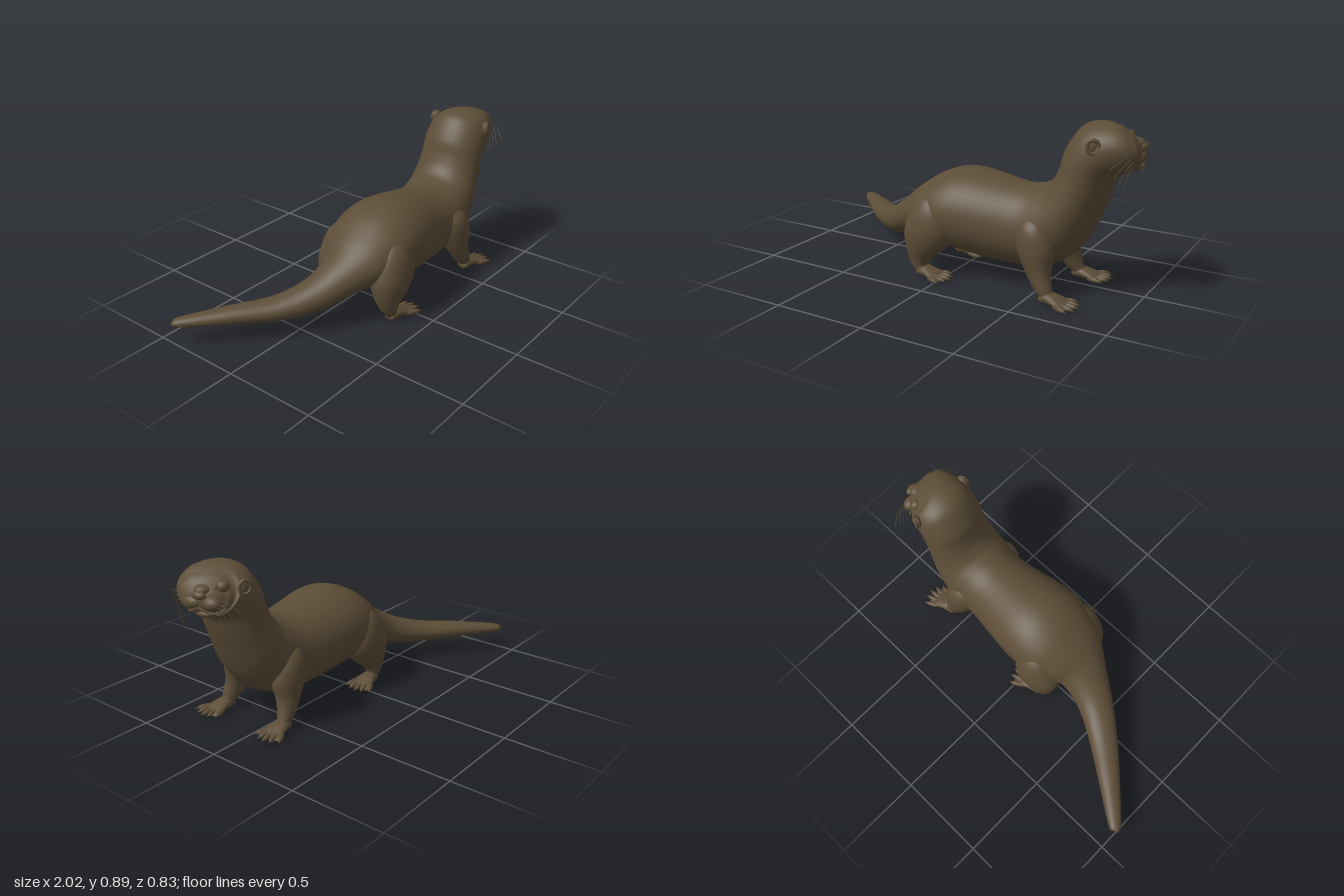
import * as THREE from 'three';

const fur = new THREE.MeshStandardMaterial({ color: 0x5c4d37 });
fur.name = 'brown fur';
const MID = 0.11; // z of the body's plane of symmetry

function named(name, geometry) {
  const m = new THREE.Mesh(geometry, fur);
  m.name = name;
  return m;
}

// Skin over elliptical rings [ax, ay, bx, by, z, halfWidth]: a and b are opposite
// rim points, and the width runs square to the path through the ring centres
function loft(name, rings, steps = 7, sides = 40) {
  const curve = (f) => new THREE.CatmullRomCurve3(rings.map(f), false, 'catmullrom', 0.5);
  const A = curve((r) => new THREE.Vector3(r[0], r[1], r[4]));
  const B = curve((r) => new THREE.Vector3(r[2], r[3], r[4]));
  const W = curve((r) => new THREE.Vector3(r[5], 0, 0));
  const centre = (t) => A.getPoint(t).add(B.getPoint(t)).multiplyScalar(0.5);
  const n = (rings.length - 1) * steps;
  const pos = [], idx = [];
  for (let j = 0; j <= n; j++) {
    const t = j / n;
    const u = A.getPoint(t).sub(B.getPoint(t)).multiplyScalar(0.5);
    const along = centre(Math.min(1, t + 0.01)).sub(centre(Math.max(0, t - 0.01)));
    const v = along.cross(u).normalize().multiplyScalar(Math.max(W.getPoint(t).x, 0.0005));
    for (let i = 0; i < sides; i++) {
      const a = (i / sides) * Math.PI * 2;
      const p = centre(t).addScaledVector(u, Math.cos(a)).addScaledVector(v, Math.sin(a));
      pos.push(p.x, p.y, p.z);
      if (j < n) {
        const k = (i + 1) % sides, q = j * sides;
        idx.push(q + i, q + k, q + sides + i, q + k, q + sides + k, q + sides + i);
      }
    }
  }
  const g = new THREE.BufferGeometry();
  g.setAttribute('position', new THREE.Float32BufferAttribute(pos, 3));
  g.setIndex(idx);
  g.computeVertexNormals();
  return named(name, g);
}

function blob(name, x, y, z, sx, sy, sz) {
  const m = named(name, new THREE.SphereGeometry(1, 24, 16));
  m.position.set(x, y, z);
  m.scale.set(sx, sy, sz);
  return m;
}

function tube(name, pts, r) {
  const c = new THREE.CatmullRomCurve3(pts.map((p) => new THREE.Vector3(...p)));
  return named(name, new THREE.TubeGeometry(c, 16, r, 6));
}

// Put limb rings on one side of the body
const onSide = (rings, s) => rings.map(([ax, ay, bx, by, z, w]) => [ax, ay, bx, by, MID + s * z, w]);

// Flat webbed foot with five fanned toes and claws; x is the heel
function foot(name, x, s) {
  const g = new THREE.Group();
  g.name = name;
  g.add(loft('sole', onSide([
    [x, 0.03, x, 0.018, 0.2, 0.004],
    [x + 0.015, 0.05, x + 0.01, 0.004, 0.2, 0.032],
    [x + 0.06, 0.062, x + 0.06, 0.002, 0.202, 0.044],
    [x + 0.15, 0.028, x + 0.15, 0.003, 0.21, 0.061],
    [x + 0.175, 0.012, x + 0.175, 0.008, 0.212, 0.045],
  ], s), 6, 24));
  for (let i = 0; i < 5; i++) {
    const toe = new THREE.Group();
    toe.name = 'toe';
    const claw = named('claw', new THREE.ConeGeometry(0.006, 0.028, 8));
    claw.rotation.z = -Math.PI / 2 - 0.2;
    claw.position.set(0.048, -0.001, 0);
    toe.add(blob('toePad', 0, 0, 0, 0.046, 0.015, 0.014), claw);
    const spread = (i - 2) / 2;
    toe.position.set(x + 0.16 - 0.028 * spread * spread, 0.017, MID + s * (0.212 + spread * 0.055));
    toe.rotation.y = -s * (0.1 + spread * 0.4);
    g.add(toe);
  }
  return g;
}

export function createModel() {
  const otter = new THREE.Group();
  otter.name = 'otter';

  // Tail, trunk, neck and head in one smooth skin
  otter.add(loft('body', [
    [-0.998, 0.13, -0.998, 0.12, -0.408, 0.002],
    [-0.975, 0.153, -0.975, 0.104, -0.385, 0.033],
    [-0.78, 0.186, -0.78, 0.095, -0.22, 0.06],
    [-0.6, 0.21, -0.6, 0.09, -0.075, 0.08],
    [-0.45, 0.272, -0.43, 0.106, 0.03, 0.1],
    [-0.31, 0.368, -0.28, 0.155, 0.09, 0.135],
    [-0.2, 0.46, -0.18, 0.17, 0.107, 0.2],
    [-0.06, 0.545, -0.06, 0.148, MID, 0.245],
    [0.1, 0.575, 0.1, 0.122, MID, 0.25],
    [0.38, 0.536, 0.4, 0.104, MID, 0.208],
    [0.5, 0.552, 0.6, 0.16, MID, 0.212],
    [0.56, 0.597, 0.73, 0.29, MID, 0.203],
    [0.594, 0.67, 0.82, 0.49, MID, 0.186],
    [0.62, 0.76, 0.87, 0.627, MID, 0.181],
    [0.7, 0.87, 0.915, 0.652, 0.109, 0.176],
    [0.81, 0.895, 0.945, 0.668, 0.1, 0.162],
    [0.89, 0.865, 0.96, 0.68, 0.086, 0.132],
    [0.94, 0.828, 0.97, 0.692, 0.075, 0.095],
    [0.975, 0.787, 0.978, 0.715, 0.067, 0.048],
    [0.982, 0.752, 0.982, 0.748, 0.065, 0.002],
  ]));

  for (const s of [1, -1]) {
    const side = s > 0 ? 'left' : 'right';
    // Legs, from the hip or shoulder down to the ankle
    otter.add(loft(side + 'HindLeg', onSide([
      [-0.06, 0.46, -0.08, 0.46, 0.12, 0.004],
      [0.03, 0.38, -0.17, 0.38, 0.16, 0.085],
      [0.06, 0.27, -0.225, 0.26, 0.174, 0.105],
      [0.015, 0.17, -0.222, 0.165, 0.184, 0.086],
      [-0.08, 0.085, -0.19, 0.075, 0.196, 0.047],
      [-0.09, 0.03, -0.14, 0.015, 0.2, 0.03],
    ], s)));
    otter.add(loft(side + 'FrontLeg', onSide([
      [0.53, 0.44, 0.5, 0.44, 0.12, 0.004],
      [0.6, 0.36, 0.43, 0.36, 0.15, 0.078],
      [0.63, 0.26, 0.43, 0.26, 0.164, 0.085],
      [0.617, 0.155, 0.48, 0.15, 0.18, 0.06],
      [0.632, 0.078, 0.542, 0.06, 0.195, 0.042],
      [0.65, 0.03, 0.6, 0.012, 0.2, 0.03],
    ], s)));
    otter.add(foot(side + 'HindFoot', -0.15, s), foot(side + 'FrontFoot', 0.57, s));

    // Small round ears with a rim
    const ear = new THREE.Group();
    ear.name = side + 'Ear';
    const rim = named('earRim', new THREE.TorusGeometry(0.028, 0.009, 10, 24));
    rim.scale.y = 1.15;
    rim.position.z = s * 0.012;
    ear.add(blob('earLobe', 0, 0, 0, 0.032, 0.038, 0.018), rim);
    ear.position.set(0.805, 0.803, 0.108 + s * 0.162);
    ear.rotation.y = s * 0.45;
    otter.add(ear);

    // Eyes, brows and muzzle; the face is turned a little to the right
    const fx = s * 0.014;
    otter.add(blob(side + 'Brow', 0.893 + fx, 0.812, 0.085 + s * 0.078, 0.032, 0.03, 0.034));
    otter.add(blob(side + 'Eye', 0.924 + fx, 0.809, 0.083 + s * 0.06, 0.013, 0.013, 0.012));
    otter.add(blob(side + 'Muzzle', 0.953 + fx, 0.742, 0.068 + s * 0.046, 0.038, 0.035, 0.054));
    otter.add(tube(side + 'Lip', [
      [0.985, 0.725, 0.066], [0.976 + fx, 0.703, 0.067 + s * 0.04],
      [0.948 + fx, 0.698, 0.072 + s * 0.08], [0.915 + fx, 0.718, 0.078 + s * 0.112],
    ], 0.006));

    // Whiskers: sweeping out, then drooping
    for (let i = 0; i < 4; i++) {
      const y = 0.758 - i * 0.012, out = 0.23 - i * 0.035;
      otter.add(tube(side + 'Whisker', [
        [0.965 + fx, y, 0.07 + s * 0.075],
        [0.955 + fx, y + 0.012 - i * 0.012, 0.09 + s * (0.08 + out * 0.35)],
        [0.91 + i * 0.012, y - 0.04 - i * 0.028, 0.095 + s * out],
      ], 0.0018));
    }
  }

  // Nose and chin
  otter.add(blob('nose', 0.975, 0.783, 0.065, 0.025, 0.021, 0.04));
  otter.add(blob('noseBridge', 0.94, 0.8, 0.073, 0.045, 0.026, 0.042));
  otter.add(blob('chin', 0.942, 0.69, 0.072, 0.034, 0.024, 0.06));
  return otter;
}
